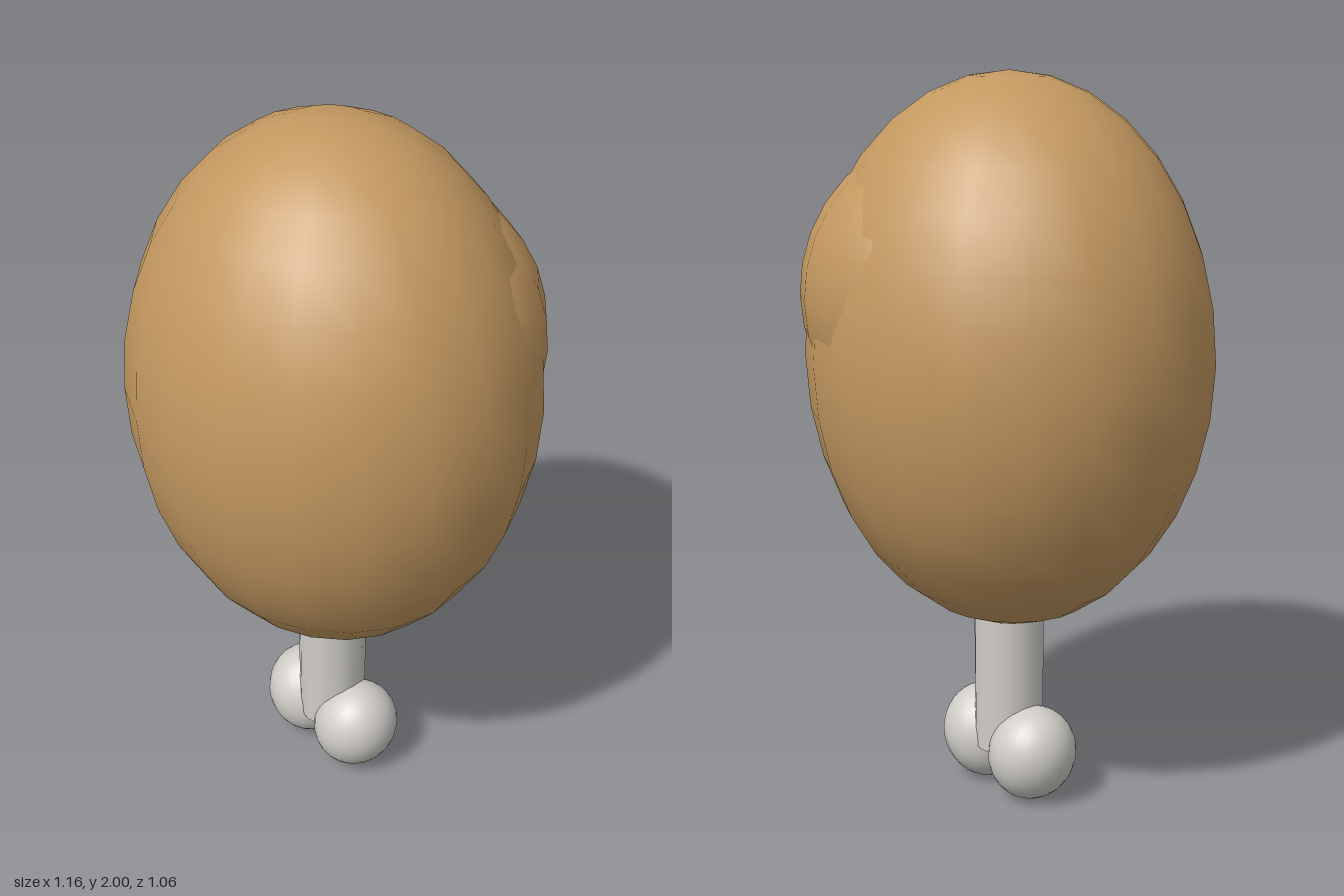
import * as THREE from 'three';

export function createModel() {
  const group = new THREE.Group();
  const meat = new THREE.MeshStandardMaterial({ name: 'roast brown', color: 0xc39860 });
  const bone = new THREE.MeshStandardMaterial({ name: 'bone grey', color: 0xd0cdc8 });

  const add = (name, geometry, material, x, y, z) => {
    const mesh = new THREE.Mesh(geometry, material);
    mesh.name = name;
    mesh.position.set(x, y, z);
    group.add(mesh);
    return mesh;
  };
  const ellipsoid = (rx, ry, rz, w = 20, h = 16) =>
    new THREE.SphereGeometry(1, w, h).scale(rx, ry, rz);

  // Large egg-shaped meat, with a shallow bulge on its back left shoulder
  add('meat', ellipsoid(0.58, 0.745, 0.53), meat, 0, 1.255, 0);
  add('meatBulge', ellipsoid(0.44, 0.44, 0.44), meat, 0.083, 1.415, -0.083);

  // Bone shaft running up into the meat
  add('boneShaft', new THREE.CylinderGeometry(0.097, 0.097, 0.5, 16), bone, 0, 0.38, 0);

  // Two knuckles at the foot of the bone, leaning outward
  for (const side of [-1, 1]) {
    const knob = add(side < 0 ? 'rightKnuckle' : 'leftKnuckle',
      ellipsoid(0.12, 0.135, 0.125, 24, 18), bone, side * 0.105, 0.134, 0);
    knob.rotation.z = -side * 0.3;
  }
  return group;
}
